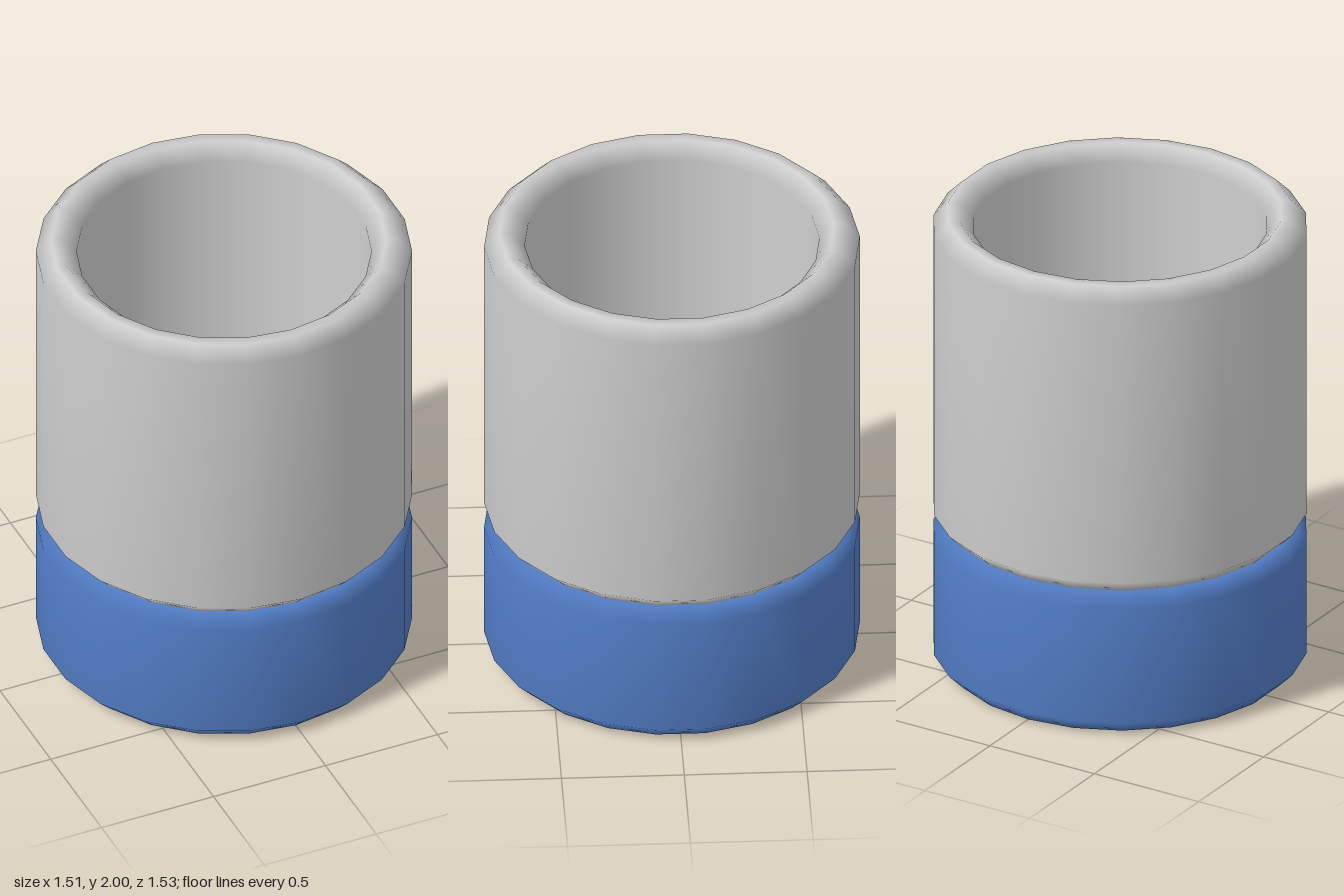
import * as THREE from 'three';

const SIDES = 22;
const RADIUS = 0.765;
const INNER = 0.6;
const BEVEL = 0.06;
const SPLIT = 0.63; // height where the base meets the cup
const FLOOR = 0.8; // inner floor of the cup

// Smooth turned part from [radius, height] pairs
function turned(name, profile, material) {
  const points = profile.map(([r, y]) => new THREE.Vector2(r, y));
  const mesh = new THREE.Mesh(new THREE.LatheGeometry(points, SIDES), material);
  mesh.name = name;
  return mesh;
}

// Bevelled outer wall, running upwards from the bottom centre
const outerWall = (bottom, top) => [
  [0, bottom],
  [RADIUS - BEVEL, bottom],
  [RADIUS, bottom + BEVEL],
  [RADIUS, top - BEVEL],
  [RADIUS - BEVEL, top],
];

export function createModel() {
  const grey = new THREE.MeshStandardMaterial({ color: 0xcccccc });
  grey.name = 'light grey';
  const blue = new THREE.MeshStandardMaterial({ color: 0x527dc6 });
  blue.name = 'blue';

  const model = new THREE.Group();
  model.name = 'cup';

  // Solid base
  model.add(turned('base', [...outerWall(0, SPLIT), [0, SPLIT]], blue));

  // Hollow cup with bevelled rim and floor
  model.add(turned('cupBody', [
    ...outerWall(SPLIT, 2),
    [INNER + BEVEL, 2],
    [INNER, 2 - BEVEL],
    [INNER, FLOOR + BEVEL],
    [INNER - BEVEL, FLOOR],
    [0, FLOOR],
  ], grey));

  return model;
}
